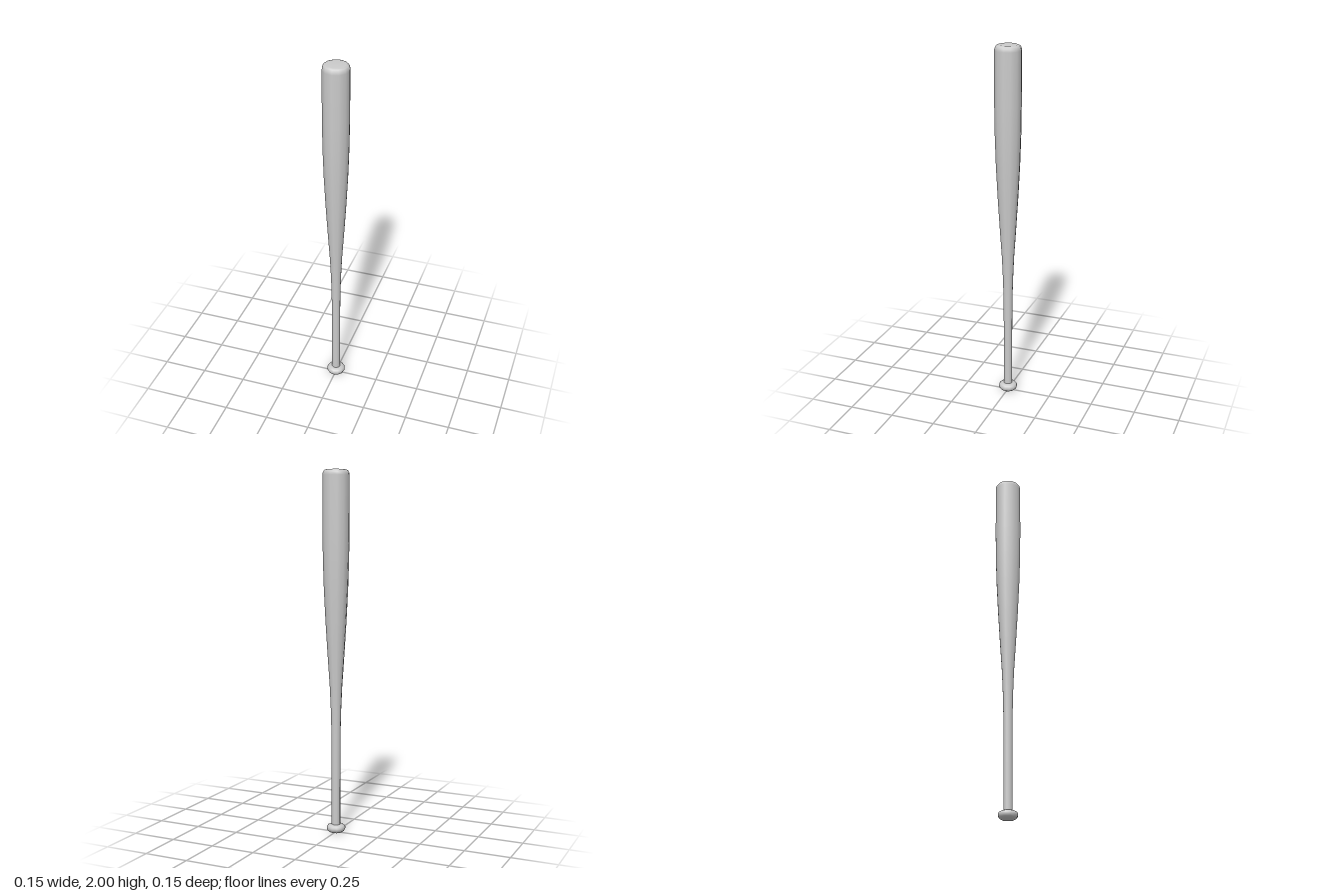
import * as THREE from 'three';

const SIDES = 12;

// Revolves [radius, height] pairs, listed bottom to top, around the y axis
function turned(name, profile, material) {
  const points = profile.map(([r, y]) => new THREE.Vector2(r, y));
  const mesh = new THREE.Mesh(new THREE.LatheGeometry(points, SIDES), material);
  mesh.name = name;
  return mesh;
}

export function createModel() {
  const group = new THREE.Group();
  group.name = 'bat';
  const material = new THREE.MeshStandardMaterial({ color: 0xcccccc });

  // Rounded knob at the end of the grip
  group.add(turned('knob', [
    [0, 0], [0.036, 0.002], [0.047, 0.01], [0.052, 0.02],
    [0.052, 0.031], [0.046, 0.039], [0.036, 0.044], [0.024, 0.046],
  ], material));

  // Slim handle swelling into the barrel, with a rounded tip
  group.add(turned('handleAndBarrel', [
    [0.024, 0.04], [0.024, 0.3], [0.025, 0.55], [0.028, 0.68], [0.034, 0.82],
    [0.046, 1.0], [0.057, 1.18], [0.066, 1.36], [0.071, 1.52], [0.073, 1.68],
    [0.073, 1.97], [0.07, 1.985], [0.064, 1.995], [0.052, 2], [0, 2],
  ], material));

  return group;
}
